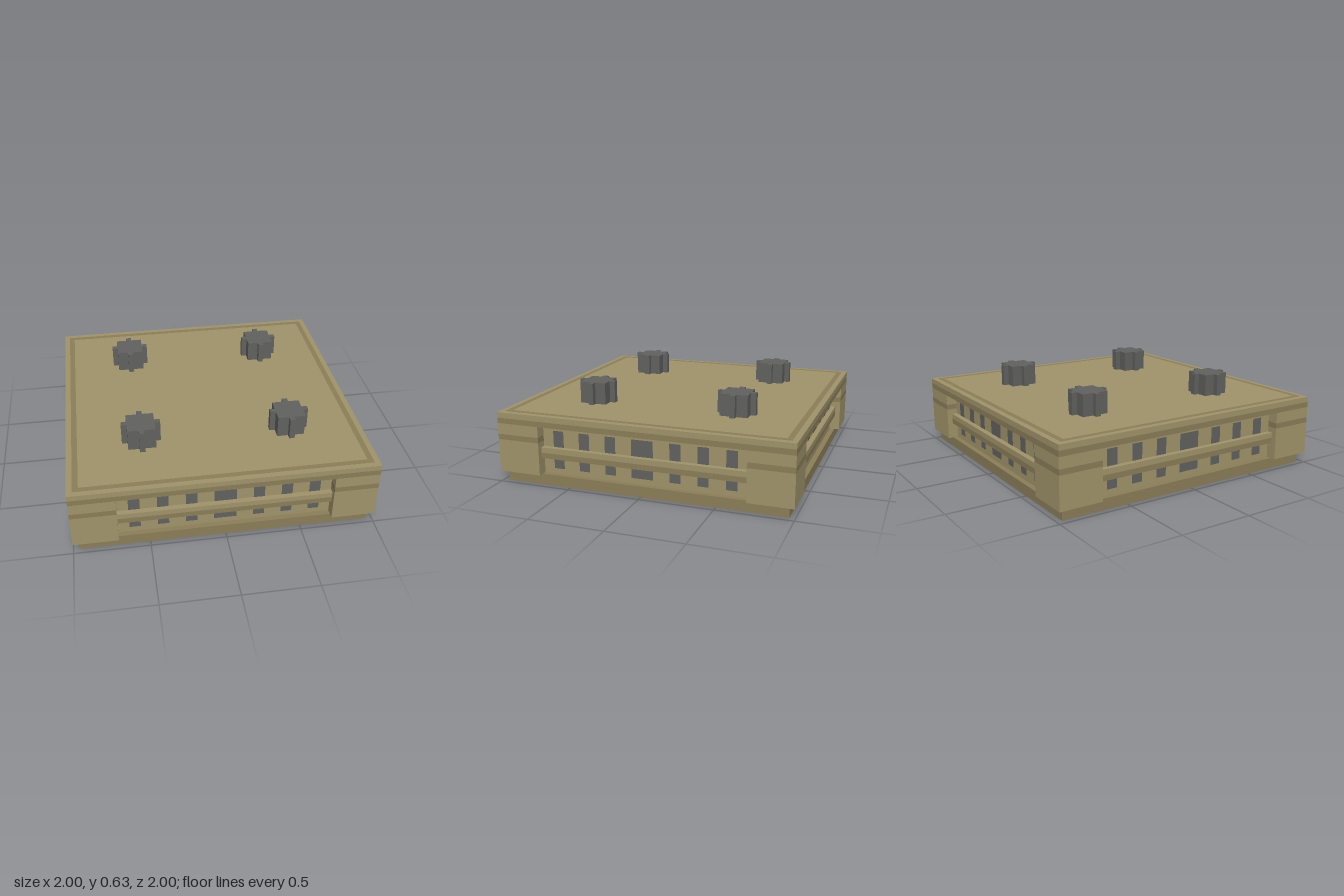
import * as THREE from 'three';

// All dimensions below are in modules of 1/27 unit
const U = 1 / 27;

export function createModel() {
  const group = new THREE.Group();
  group.name = 'bunkerBuilding';

  const paint = (color) => new THREE.MeshStandardMaterial({ color, flatShading: true });
  const sand = paint(0xa1946b);
  const dark = paint(0x8b7e58);
  const grey = paint(0x616160);

  // Box given by its centre in x and z and its bottom and top heights
  function block(parent, name, material, width, depth, bottom, top, x = 0, z = 0) {
    const geometry = new THREE.BoxGeometry(width * U, (top - bottom) * U, depth * U);
    const mesh = new THREE.Mesh(geometry, material);
    mesh.position.set(x * U, ((bottom + top) / 2) * U, z * U);
    mesh.name = name;
    parent.add(mesh);
    return mesh;
  }

  // Plinth and the inner block whose faces back the recessed bays
  block(group, 'plinth', dark, 52, 52, 0, 2);
  block(group, 'innerWalls', sand, 50, 50, 2, 11);

  // Corner piers with a dark stripe
  for (const sx of [-1, 1]) {
    for (const sz of [-1, 1]) {
      const pier = new THREE.Group();
      pier.name = 'cornerPier';
      for (const [bottom, top, material] of [[2, 8, sand], [8, 9, dark], [9, 11, sand]]) {
        block(pier, 'pierCourse', material, 8, 8, bottom, top, sx * 23, sz * 23);
      }
      group.add(pier);
    }
  }

  // Roof slab: dark course below, pale course above
  block(group, 'roofStripe', dark, 54, 54, 11, 12);
  block(group, 'roofSlab', sand, 54, 54, 12, 13);

  // Dark inlaid border on the roof
  const square = (Type, half) => new Type([
    new THREE.Vector2(-half, -half), new THREE.Vector2(half, -half),
    new THREE.Vector2(half, half), new THREE.Vector2(-half, half),
  ]);
  const ring = square(THREE.Shape, 26 * U);
  ring.holes.push(square(THREE.Path, 25 * U));
  const border = new THREE.Mesh(new THREE.ShapeGeometry(ring), dark);
  border.rotation.x = -Math.PI / 2;
  border.position.y = 13 * U + 0.0015;
  border.name = 'roofBorder';
  group.add(border);

  // Window bay with a two-tone rail, repeated on the four sides
  for (let side = 0; side < 4; side++) {
    const bay = new THREE.Group();
    bay.name = 'windowBay';
    for (const x of [-16, -11, -6, 0, 6, 11, 16]) {
      const pane = new THREE.Mesh(new THREE.PlaneGeometry((x === 0 ? 4 : 2) * U, 7 * U), grey);
      pane.position.set(x * U, 6.5 * U, 25 * U + 0.0015);
      pane.name = 'window';
      bay.add(pane);
    }
    block(bay, 'railLower', dark, 38, 1, 5, 6, 0, 25.5);
    block(bay, 'railUpper', sand, 38, 1, 6, 7, 0, 25.5);
    bay.rotation.y = side * Math.PI / 2;
    group.add(bay);
  }

  // Roof vents: square stacks with one rib on each face
  for (const sx of [-1, 1]) {
    for (const sz of [-1, 1]) {
      const vent = new THREE.Group();
      vent.name = 'roofVent';
      block(vent, 'ventStack', grey, 5, 5, 13, 17);
      for (const s of [-1, 1]) {
        block(vent, 'ventRib', grey, 1, 1, 13, 17, s * 3, 0);
        block(vent, 'ventRib', grey, 1, 1, 13, 17, 0, s * 3);
      }
      vent.position.set(sx * 13.5 * U, 0, sz * 13.5 * U);
      group.add(vent);
    }
  }

  return group;
}
